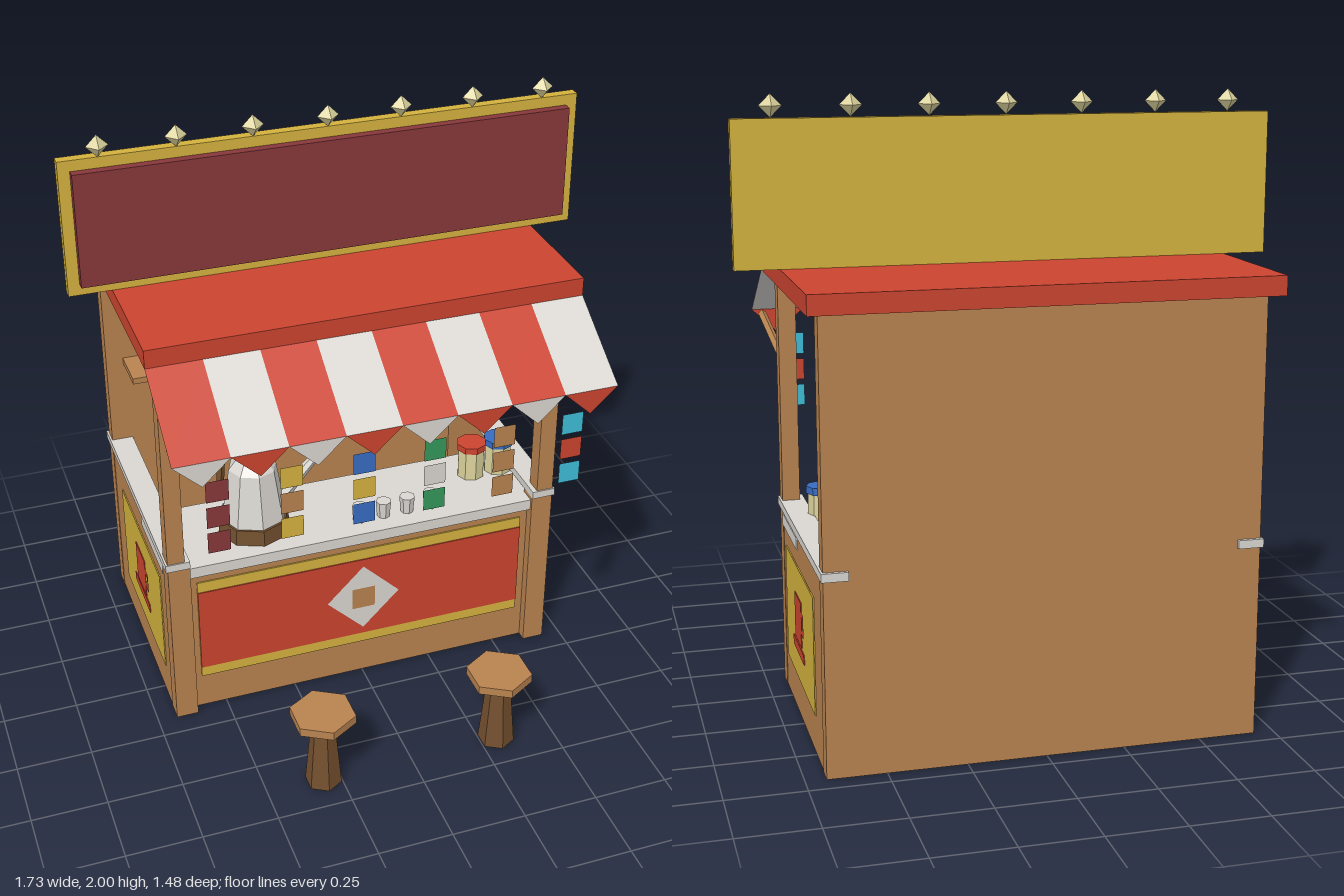
import * as THREE from 'three';

const mat = (name, color, double = false) => {
  const m = new THREE.MeshStandardMaterial({ color, flatShading: true });
  m.name = name;
  if (double) m.side = THREE.DoubleSide;
  return m;
};

export function createModel() {
  const root = new THREE.Group();
  root.name = 'drinkStall';
  const D = true;
  const wood = mat('wood', 0xb98350, D), dark = mat('darkWood', 0x74502f), red = mat('red', 0xcb4430, D),
    white = mat('paleMetal', 0xdad7d2, D), gold = mat('gold', 0xd4b23e, D), maroon = mat('maroon', 0x87373a, D),
    blue = mat('blue', 0x386cc2, D), green = mat('green', 0x34965a, D), cyan = mat('cyan', 0x3fbcd6, D),
    cream = mat('cream', 0xdcd39c);

  const add = (name, geo, material, x = 0, y = 0, z = 0, parent = root) => {
    const m = new THREE.Mesh(geo, material);
    m.name = name;
    m.position.set(x, y, z);
    parent.add(m);
    return m;
  };
  // Box from its minimum and maximum corners
  const box = (name, material, [x0, x1], [y0, y1], [z0, z1], parent = root) =>
    add(name, new THREE.BoxGeometry(x1 - x0, y1 - y0, z1 - z0), material,
      (x0 + x1) / 2, (y0 + y1) / 2, (z0 + z1) / 2, parent);
  const cyl = (name, material, rTop, rBottom, y0, y1, x, z, sides, parent = root) =>
    add(name, new THREE.CylinderGeometry(rTop, rBottom, y1 - y0, sides), material, x, (y0 + y1) / 2, z, parent);
  // Straight bar between two points
  const bar = (name, material, a, b, r0, r1, sides, parent = root) => {
    const p = new THREE.Vector3(...a), q = new THREE.Vector3(...b), d = q.clone().sub(p);
    const m = add(name, new THREE.CylinderGeometry(r1, r0, d.length(), sides), material, 0, 0, 0, parent);
    m.position.copy(p).add(q).multiplyScalar(0.5);
    m.quaternion.setFromUnitVectors(new THREE.Vector3(0, 1, 0), d.normalize());
    return m;
  };
  const polygon = (points) => new THREE.ShapeGeometry(new THREE.Shape(points.map(p => new THREE.Vector2(...p))));

  // Walls, corner posts and armrest trims
  box('backWall', wood, [-0.685, 0.685], [0, 1.41], [-0.688, -0.63]);
  for (const s of [-1, 1]) {
    const span = (a, b) => s > 0 ? [a, b] : [-b, -a];
    box('sideWall', wood, span(0.63, 0.683), [0, 0.62], [-0.63, 0.112]);
    box('lowerPost', wood, span(0.61, 0.685), [0, 0.62], [0.11, 0.175]);
    box('upperPost', wood, span(0.627, 0.685), [0.645, 1.41], [0.115, 0.175]);
    box('sideTrim', white, span(0.61, 0.692), [0.618, 0.645], [-0.7, 0.18]);
    box('counterEnd', white, span(0.61, 0.688), [0.565, 0.605], [-0.19, 0.11]);
    bar('awningStrut', wood, [s * 0.65, 1.08, 0.17], [s * 0.69, 1.222, 0.475], 0.014, 0.014, 4);
  }

  // Counter with its front panel
  box('counterBody', wood, [-0.63, 0.63], [0, 0.566], [-0.15, 0.14]);
  box('counterTop', white, [-0.615, 0.615], [0.565, 0.605], [-0.19, 0.165]);
  box('frontPanelBorder', gold, [-0.583, 0.583], [0.13, 0.525], [0.139, 0.145]);
  box('frontPanel', red, [-0.583, 0.583], [0.17, 0.485], [0.144, 0.149]);
  add('panelDiamond', polygon([[-0.13, 0], [0, -0.13], [0.13, 0], [0, 0.13]]), white, 0, 0.328, 0.152);
  add('panelSquare', new THREE.PlaneGeometry(0.082, 0.082), wood, 0, 0.328, 0.155);

  // Painted cup boards on both sides, drawn in a plane facing +z and turned outward
  for (const s of [-1, 1]) {
    const sign = new THREE.Group();
    sign.name = 'cupBoard';
    sign.position.set(s * 0.684, 0, -0.228);
    sign.rotation.y = s * Math.PI / 2;
    root.add(sign);
    box('board', gold, [-0.278, 0.278], [0.13, 0.51], [0, 0.004], sign);
    box('cup', red, [-0.08, 0.046], [0.265, 0.415], [0.003, 0.007], sign);
    box('saucer', red, [-0.122, 0.09], [0.224, 0.256], [0.003, 0.007], sign);
    const handle = new THREE.Shape([[0.046, 0.312], [0.094, 0.312], [0.094, 0.388], [0.046, 0.388]]
      .map(p => new THREE.Vector2(...p)));
    handle.holes.push(new THREE.Path([[0.056, 0.33], [0.056, 0.37], [0.078, 0.37], [0.078, 0.33]]
      .map(p => new THREE.Vector2(...p))));
    add('cupHandle', new THREE.ShapeGeometry(handle), red, 0, 0, 0.007, sign);
  }

  // Roof and striped awning with a pennant hem
  box('roof', red, [-0.723, 0.723], [1.41, 1.472], [-0.74, 0.215]);
  const w = 1.446 / 8, drop = 0.18, reach = 0.285;
  for (let i = 0; i < 8; i++) {
    const x = -0.723 + (i + 0.5) * w;
    const stripe = add('awningStripe', new THREE.PlaneGeometry(w, Math.hypot(drop, reach)), i % 2 ? white : red,
      x, 1.41 - drop / 2, 0.215 + reach / 2);
    stripe.rotation.x = -Math.atan2(reach, drop);
    add('pennant', polygon([[-w / 2, 0], [0, -0.085], [w / 2, 0]]), i % 2 ? red : white, x, 1.23, 0.5);
  }

  // Hanging strings of square flags
  const strings = [[maroon, maroon], [gold, wood], [blue, gold], [green, white], [wood, wood], [cyan, red]];
  strings.forEach(([a, b], i) => {
    for (let j = 0; j < 3; j++)
      add('hangingFlag', new THREE.PlaneGeometry(0.072, 0.074), j === 1 ? b : a,
        -0.584 + i * 0.2335, 1.108 - j * 0.092, 0.48);
  });

  // Roof board with a row of bulbs
  box('signFrame', gold, [-0.863, 0.863], [1.472, 1.928], [-0.235, -0.2]);
  box('signPanel', maroon, [-0.825, 0.825], [1.51, 1.892], [-0.2, -0.17]);
  for (let i = -3; i <= 3; i++)
    add('bulb', new THREE.OctahedronGeometry(0.036), cream, i * 0.2455, 1.964, -0.2);

  // Back shelf with four boxes and a wall plate
  box('shelf', wood, [-0.625, 0.625], [0.953, 0.975], [-0.63, -0.475]);
  [red, gold, green, blue].forEach((m, i) => {
    const x = -0.463 + i * 0.3087;
    box('shelfBox', m, [x - 0.067, x + 0.067], [0.975, 1.137], [-0.602, -0.53]);
  });
  box('wallPlate', gold, [-0.4, 0.4], [1.07, 1.3], [-0.631, -0.624]);

  // Kettle
  const kettle = new THREE.Group();
  kettle.name = 'kettle';
  kettle.position.set(-0.34, 0.605, 0);
  root.add(kettle);
  cyl('kettleBase', dark, 0.12, 0.124, 0, 0.056, 0, 0, 8, kettle);
  const profile = [[0, 0.05], [0.113, 0.05], [0.082, 0.245], [0.052, 0.283], [0, 0.29]];
  add('kettleBody', new THREE.LatheGeometry(profile.map(p => new THREE.Vector2(...p)), 8), white, 0, 0, 0, kettle);
  cyl('kettleKnob', dark, 0.014, 0.018, 0.285, 0.33, 0, 0, 6, kettle);
  bar('kettleSpout', white, [0.085, 0.09, 0], [0.21, 0.225, 0], 0.026, 0.016, 6, kettle);
  const grip = [[-0.118, 0.14, 0], [-0.105, 0.31, 0], [0.085, 0.312, 0]];
  for (let i = 0; i < 2; i++) bar('kettleHandle', dark, grip[i], grip[i + 1], 0.014, 0.014, 5, kettle);

  // Drinking cups and jars
  for (let i = 0; i < 4; i++) cyl('drinkingCup', white, 0.027, 0.022, 0.605, 0.665, 0.01 + i * 0.086, 0.083, 7);
  [red, blue].forEach((lid, i) => {
    cyl('jar', cream, 0.048, 0.048, 0.605, 0.716, 0.477 + i * 0.102, -0.06, 8);
    cyl('jarLid', lid, 0.053, 0.053, 0.714, 0.738, 0.477 + i * 0.102, -0.06, 8);
  });

  // Stools
  for (const x of [-0.307, 0.307]) {
    cyl('stoolSeat', wood, 0.109, 0.109, 0.26, 0.29, x, 0.627, 6);
    cyl('stoolLeg', dark, 0.038, 0.061, 0, 0.261, x, 0.627, 6);
  }
  return root;
}
